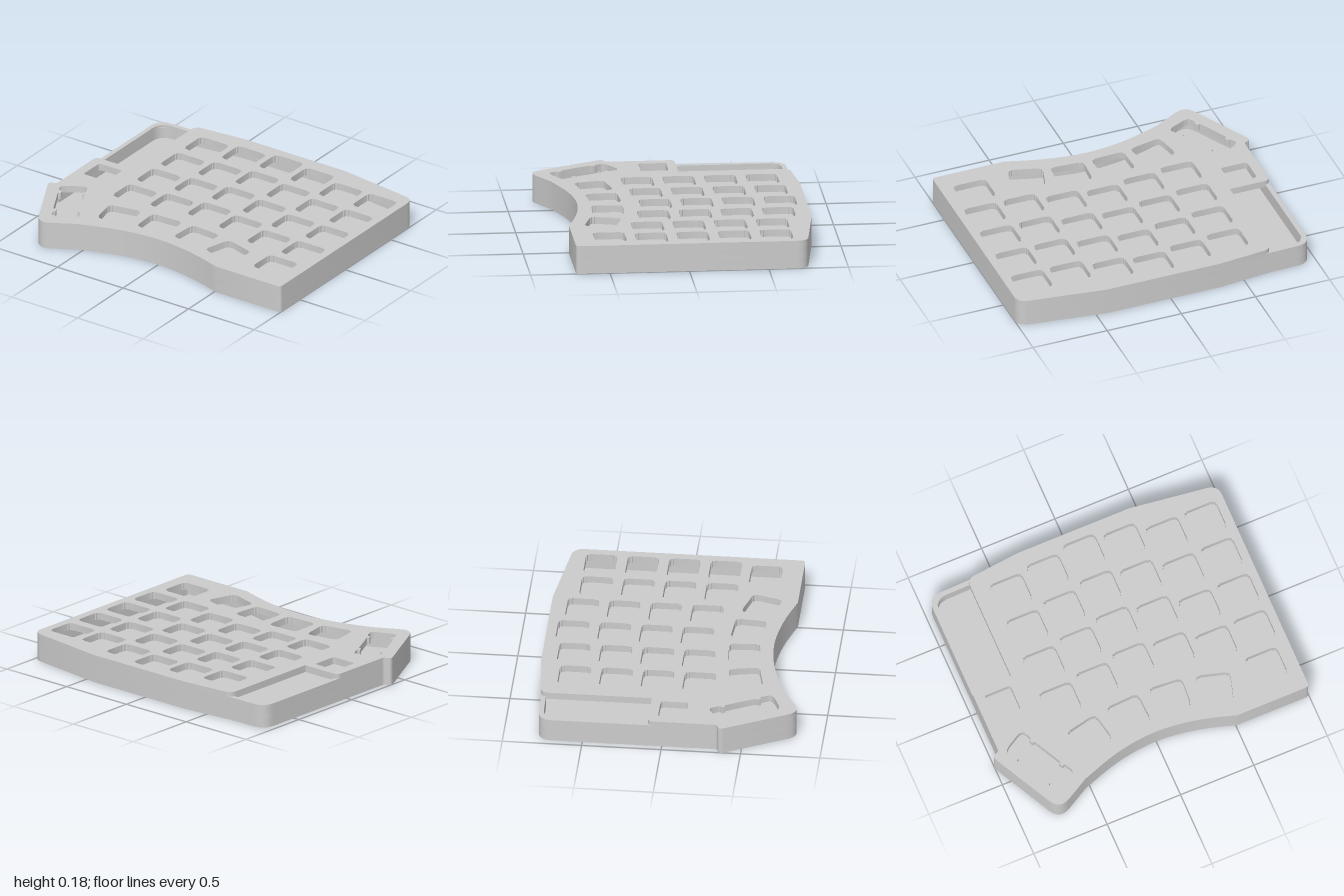
import * as THREE from 'three';
import { toCreasedNormals } from 'three/addons/utils/BufferGeometryUtils.js';

// Heights of the inner floor, the plate's underside, the bay rim and the top
const FLOOR = 0.06, PLATE = 0.135, RIM = 0.15, TOP = 0.18;
const WALL = 0.03;

// Trace a closed path through [x, z, cornerRadius] points, rounding the corners
function trace(path, pts) {
  const n = pts.length;
  pts.forEach(([x, z, r = 0], i) => {
    const corner = new THREE.Vector2(x, z);
    const towards = (q) => {
      const d = new THREE.Vector2(q[0] - x, q[1] - z);
      return corner.clone().add(d.setLength(Math.min(r, d.length() / 2)));
    };
    const a = towards(pts[(i + n - 1) % n]), b = towards(pts[(i + 1) % n]);
    if (i === 0) path.moveTo(a.x, a.y);
    else path.lineTo(a.x, a.y);
    if (r > 0) path.quadraticCurveTo(x, z, b.x, b.y);
  });
  path.closePath();
  return path;
}

// Offset an outline inwards by d, mitring each corner
function inset(pts, d) {
  const n = pts.length;
  const normal = (p, q) => new THREE.Vector2(p[1] - q[1], q[0] - p[0]).normalize();
  return pts.map((p, i) => {
    const a = normal(pts[(i + n - 1) % n], p), b = normal(p, pts[(i + 1) % n]);
    const m = a.clone().add(b).multiplyScalar(d / (1 + a.dot(b)));
    return [p[0] + m.x, p[1] + m.y, p[2]];
  });
}

// Move local points to a place on the plate, turned by an angle
function place(pts, cx, cz, angle = 0) {
  const c = Math.cos(angle), s = Math.sin(angle);
  return pts.map(([x, z, r]) => [cx + x * c - z * s, cz + x * s + z * c, r]);
}

// Rectangular opening with slightly stepped-in corners
function opening(w, d) {
  const x = w / 2, z = d / 2, k = 0.026, e = 0.006;
  const quarter = [[x, z - k, 0.003], [x - e, z - k, 0.003], [x - e, z - e, 0.014], [x - k, z - e, 0.003], [x - k, z, 0.003]];
  const flip = (sx, sz) => quarter.map(([px, pz, r]) => [px * sx, pz * sz, r]);
  return [...quarter, ...flip(-1, 1).reverse(), ...flip(-1, -1), ...flip(1, -1).reverse()];
}

function slab(name, shape, y0, y1, material) {
  let g = new THREE.ExtrudeGeometry(shape, { depth: y1 - y0, bevelEnabled: false, curveSegments: 6 });
  g.rotateX(Math.PI / 2).translate(0, y1, 0);
  g = toCreasedNormals(g, 0.45);
  const mesh = new THREE.Mesh(g, material);
  mesh.name = name;
  return mesh;
}

export function createModel() {
  const group = new THREE.Group();
  group.name = 'keyboardCase';
  const material = new THREE.MeshStandardMaterial({ color: 0xcccccc });

  // Curved front edge, right to left
  const frontArc = new THREE.SplineCurve([
    [0.51, 0.713], [0.27, 0.645], [0, 0.613], [-0.27, 0.645], [-0.53, 0.728],
  ].map(([x, z]) => new THREE.Vector2(x, z))).getPoints(16).map((p) => [p.x, p.y]);

  // Outline shared by all layers, back edge round to the left side
  const common = [
    [-0.33, -0.822], [0.43, -0.822], [1, -0.745, 0.07], [1, 0.713, 0.025],
    ...frontArc,
    [-0.757, 0.855, 0.09], [-1.012, 0.363, 0.035], [-0.96, 0.348, 0.015],
  ];
  const outline = [...common, [-0.96, -0.78, 0.09], [-0.68, -0.787]];

  // Closed bottom and the hollow wall above it
  group.add(slab('bottom', trace(new THREE.Shape(), outline), 0, FLOOR, material));
  const wall = trace(new THREE.Shape(), outline);
  wall.holes.push(trace(new THREE.Path(), inset(outline, WALL)));
  group.add(slab('wall', wall, FLOOR, PLATE, material));

  // Key plate, leaving the back left bay open
  const plate = trace(new THREE.Shape(), [
    ...common, [-0.96, -0.088, 0.035], [-0.69, -0.088], [-0.69, -0.787, 0.05],
  ]);
  const cut = (pts) => plate.holes.push(trace(new THREE.Path(), pts));

  // Staggered key columns
  const columns = [[-0.472, -0.597], [-0.209, -0.626], [0.052, -0.66], [0.313, -0.626], [0.575, -0.562], [0.836, -0.562]];
  for (const [x, z] of columns) {
    for (let row = 0; row < 4; row++) cut(place(opening(0.22, 0.198), x, z + row * 0.262));
  }
  // Thumb row, fanned along the front arc
  for (const [x, z, a] of [
    [-0.395, 0.474, -0.2], [-0.113, 0.437, -0.05], [0.17, 0.437, 0.07], [0.449, 0.493, 0.28], [0.804, 0.483, 0],
  ]) cut(place(opening(0.22, 0.198), x, z, a));
  // Small square opening beside the bay
  const s = 0.0875, r = 0.02;
  cut(place([[-s, -s, r], [s, -s, r], [s, s, r], [-s, s, r]], -0.808, 0.058));

  // Wide thumb key opening with stabiliser slots at both ends
  const half = [
    [-0.21, 0.05, 0.012], [-0.215, -0.06, 0.012], [-0.2, -0.085, 0.012], [-0.135, -0.085, 0.008],
    [-0.135, -0.065, 0.005], [-0.105, -0.065, 0.005], [-0.105, -0.08, 0.005],
  ];
  const mirrored = half.map(([u, v, q]) => [-u, v, q]).reverse();
  const upper = [
    [0.195, 0.086, 0.01], [0.145, 0.086, 0.008], [0.145, 0.07, 0.005], [0.11, 0.07, 0.005], [0.11, 0.09, 0.005],
    [-0.11, 0.09, 0.005], [-0.11, 0.07, 0.005], [-0.145, 0.07, 0.005], [-0.145, 0.086, 0.008], [-0.195, 0.086, 0.01],
  ];
  cut(place([...half, ...mirrored, ...upper], -0.75, 0.505, Math.atan2(0.89, 0.46)));
  group.add(slab('keyPlate', plate, PLATE, TOP, material));

  // Lower rim around the bay
  const rim = trace(new THREE.Shape(), [
    [-0.96, -0.06], [-0.96, -0.78, 0.09], [-0.68, -0.787], [-0.62, -0.793], [-0.66, -0.756],
    [-0.93, -0.75, 0.08], [-0.93, -0.06],
  ]);
  group.add(slab('bayRim', rim, PLATE, RIM, material));

  return group;
}
